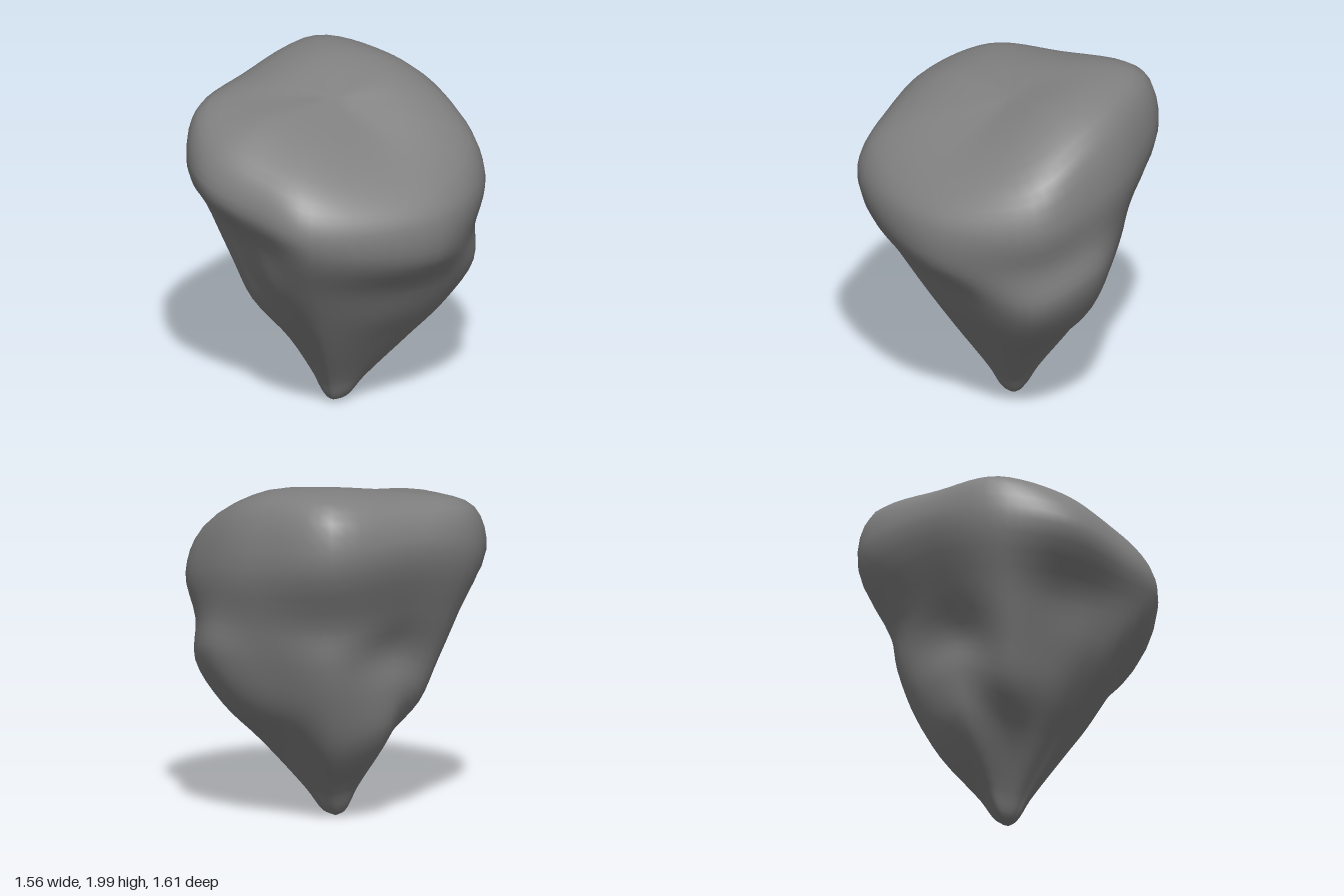
import * as THREE from 'three';
import { mergeVertices } from 'three/addons/utils/BufferGeometryUtils.js';

// Directions of the profiles in degrees, from +x towards +z
const ANGLES = [0, 60, 88, 114, 143, 180, 222, 255, 285, 315];
// Rock profiles as [radius, height] from the lower flank over the rim to the top, one per direction
const PROFILES = [
  [[.3, .48], [.45, .68], [.59, .91], [.76, 1.12], [.775, 1.36], [.68, 1.5], [.4, 1.69]],
  [[.27, .44], [.43, .67], [.6, .93], [.78, 1.22], [.815, 1.39], [.73, 1.56], [.44, 1.73]],
  [[.24, .43], [.39, .65], [.55, .92], [.66, 1.2], [.79, 1.44], [.71, 1.65], [.45, 1.79]],
  [[.25, .43], [.41, .67], [.52, .93], [.63, 1.2], [.85, 1.5], [.77, 1.72], [.5, 1.85]],
  [[.28, .44], [.48, .67], [.59, .92], [.71, 1.2], [.84, 1.55], [.78, 1.82], [.48, 1.89]],
  [[.45, .53], [.51, .8], [.51, 1.02], [.63, 1.27], [.77, 1.65], [.69, 1.86], [.4, 1.94]],
  [[.46, .44], [.6, .72], [.69, .99], [.73, 1.22], [.92, 1.62], [.84, 1.92], [.5, 1.99]],
  [[.4, .45], [.58, .7], [.68, .97], [.74, 1.22], [.82, 1.56], [.72, 1.89], [.5, 1.97]],
  [[.42, .45], [.66, .7], [.8, 1], [.79, 1.22], [.81, 1.5], [.71, 1.8], [.45, 1.91]],
  [[.42, .42], [.63, .63], [.79, .87], [.8, 1.12], [.86, 1.38], [.77, 1.62], [.46, 1.8]],
];
const TIP = new THREE.Vector3(-0.05, 0, -0.05);
const CROWN = new THREE.Vector3(-0.05, 1.88, -0.05);
const AROUND = 60, UP = 40;

function rockGeometry() {
  // Control points of each level
  const levels = PROFILES[0].map((_, level) => PROFILES.map((profile, k) => {
    const [r, y] = profile[level], a = THREE.MathUtils.degToRad(ANGLES[k]);
    return new THREE.Vector3(r * Math.cos(a), y, r * Math.sin(a));
  }));
  // The lowest level shrinks twice towards a blunt tip
  const shrink = (points, s, h) => points.map(p => TIP.clone().lerp(p, s).setY(p.y * h));
  levels.unshift(shrink(levels[0], 0.17, 0.07), shrink(levels[0], 0.4, 0.36));
  const loops = levels.map(points => new THREE.CatmullRomCurve3(points, true));

  // Smooth columns from tip to crown through the loops
  const positions = [], indices = [];
  for (let i = 0; i < AROUND; i++) {
    const column = new THREE.CatmullRomCurve3([TIP, ...loops.map(l => l.getPoint(i / AROUND)), CROWN]);
    for (let j = 0; j <= UP; j++) {
      const p = column.getPoint(j / UP);
      positions.push(p.x, Math.max(0, p.y), p.z);
    }
  }

  // Skin between neighbouring columns, single triangles at tip and crown
  const at = (i, j) => (i % AROUND) * (UP + 1) + j;
  for (let i = 0; i < AROUND; i++) {
    for (let j = 0; j < UP; j++) {
      const a = at(i, j), b = at(i, j + 1), c = at(i + 1, j + 1), d = at(i + 1, j);
      if (j < UP - 1) indices.push(a, b, c);
      if (j > 0) indices.push(a, c, d);
    }
  }
  const geometry = new THREE.BufferGeometry();
  geometry.setAttribute('position', new THREE.Float32BufferAttribute(positions, 3));
  geometry.setIndex(indices);
  const welded = mergeVertices(geometry, 1e-4);
  welded.computeVertexNormals();
  return welded;
}

export function createModel() {
  const group = new THREE.Group();
  group.name = 'boulder';
  const rock = new THREE.Mesh(rockGeometry(), new THREE.MeshStandardMaterial({ color: 0x808080 }));
  rock.name = 'rock';
  group.add(rock);
  return group;
}
